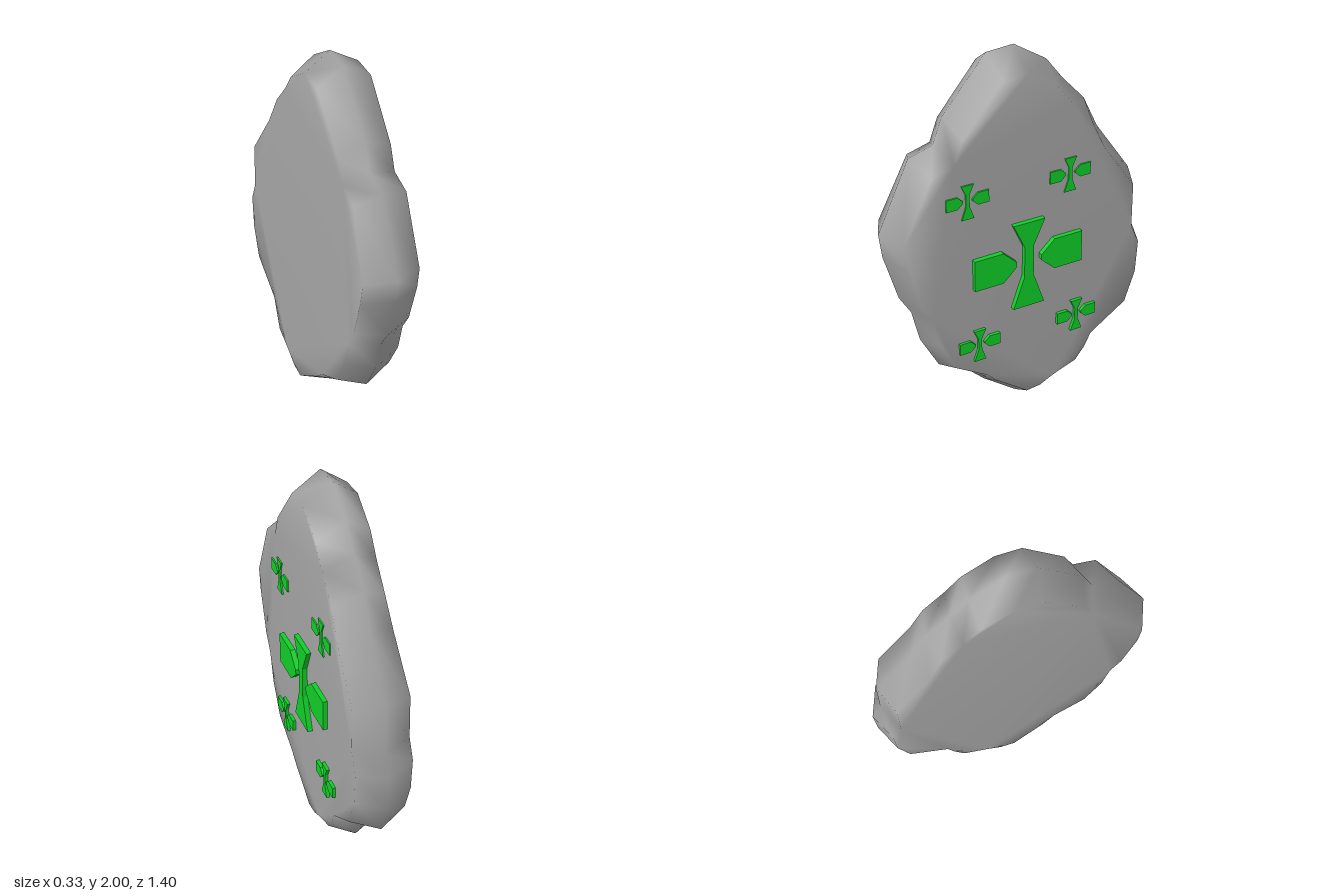
import * as THREE from 'three';

// Parts are laid out in a (u, y, depth) frame and turned so depth runs along +x and u along -z.
const OUTLINE = [
  [-0.14, 1.99], [0, 2], [0.17, 1.89], [0.26, 1.77], [0.377, 1.64], [0.456, 1.47], [0.647, 1.19],
  [0.65, 0.925], [0.7, 0.81], [0.69, 0.61], [0.63, 0.425], [0.414, 0.275], [0.377, 0.19],
  [0.32, 0.11], [0.18, 0.055], [0.095, 0.01], [0.01, 0], [-0.175, 0.145], [-0.244, 0.215],
  [-0.424, 0.33], [-0.52, 0.52], [-0.56, 0.7], [-0.62, 0.805], [-0.69, 1.06], [-0.705, 1.19],
  [-0.54, 1.55], [-0.414, 1.59], [-0.366, 1.72],
].reverse();

// Depth of the two broad faces, as [height, depth] steps
const FRONT = [[0, 0.13], [0.1, 0.133], [0.35, 0.143], [2, 0.143]];
const BACK = [[0, -0.168], [0.12, -0.165], [0.28, -0.148], [1.1, -0.147], [1.4, -0.133], [1.55, -0.115], [2, -0.127]];

function sample(steps, y) {
  for (let i = 1; i < steps.length; i++) {
    const [y0, d0] = steps[i - 1], [y1, d1] = steps[i];
    if (y <= y1) return THREE.MathUtils.mapLinear(y, y0, y1, d0, d1);
  }
  return steps[steps.length - 1][1];
}

// Stone slab: a ridge line around the middle and an inset shoulder on each side
function slabGeometry() {
  const n = OUTLINE.length;
  const inset = OUTLINE.map(([u, y]) => [u * 0.912, 1 + (y - 1) * 0.912]);
  const positions = [], index = [];
  inset.forEach(([u, y]) => positions.push(u, y, sample(BACK, y)));
  OUTLINE.forEach(([u, y]) => positions.push(u, y, 0));
  inset.forEach(([u, y]) => positions.push(u, y, sample(FRONT, y)));

  // bevelled rim
  for (let r = 0; r < 2; r++) {
    for (let i = 0; i < n; i++) {
      const j = (i + 1) % n;
      const a = r * n + i, b = r * n + j, c = b + n, d = a + n;
      index.push(a, b, c, a, c, d);
    }
  }
  // broad faces
  const contour = inset.map(([u, y]) => new THREE.Vector2(u, y));
  for (const [a, b, c] of THREE.ShapeUtils.triangulateShape(contour, [])) {
    index.push(2 * n + a, 2 * n + b, 2 * n + c);
    index.push(c, b, a);
  }
  const g = new THREE.BufferGeometry();
  g.setAttribute('position', new THREE.Float32BufferAttribute(positions, 3));
  g.setIndex(index);
  g.computeVertexNormals();
  return g.rotateY(Math.PI / 2);
}

// Raised emblem: an hourglass between two pointed tabs
const HOURGLASS = [
  [-0.085, 0.222], [-0.025, 0.085], [-0.025, -0.085], [-0.085, -0.263],
  [0.085, -0.263], [0.025, -0.085], [0.025, 0.085], [0.085, 0.222],
];
const TAB = [
  [0.293, 0.086], [0.14, 0.086], [0.068, 0.015], [0.068, -0.015], [0.14, -0.086], [0.293, -0.086],
];

function createEmblem(z, y, scale, outerX, material) {
  const emblem = new THREE.Group();
  const baseX = 0.125;
  const addPiece = (name, points, mirror) => {
    const shape = new THREE.Shape(points.map(([u, v]) => new THREE.Vector2(u * scale * mirror, v * scale)));
    const g = new THREE.ExtrudeGeometry(shape, { depth: outerX - baseX, bevelEnabled: false });
    const mesh = new THREE.Mesh(g.rotateY(Math.PI / 2), material);
    mesh.name = name;
    emblem.add(mesh);
  };
  addPiece('hourglass', HOURGLASS, 1);
  addPiece('rearTab', TAB, 1);
  addPiece('frontTab', TAB, -1);
  emblem.position.set(baseX, y, z);
  return emblem;
}

export function createModel() {
  const stone = new THREE.MeshStandardMaterial({ color: 0xa6a6a6 });
  stone.name = 'stone grey';
  const green = new THREE.MeshStandardMaterial({ color: 0x10d028 });
  green.name = 'bright green';

  const model = new THREE.Group();
  model.name = 'carvedStone';
  const slab = new THREE.Mesh(slabGeometry(), stone);
  slab.name = 'stoneSlab';
  model.add(slab);

  // One large emblem with four small ones around it
  const emblems = [
    ['centreEmblem', 0, 0.92, 1, 0.165],
    ['upperFrontEmblem', 0.315, 1.342, 0.375, 0.15],
    ['upperRearEmblem', -0.228, 1.342, 0.375, 0.15],
    ['lowerFrontEmblem', 0.265, 0.504, 0.375, 0.155],
    ['lowerRearEmblem', -0.28, 0.504, 0.375, 0.155],
  ];
  for (const [name, z, y, scale, outerX] of emblems) {
    const emblem = createEmblem(z, y, scale, outerX, green);
    emblem.name = name;
    model.add(emblem);
  }
  return model;
}
